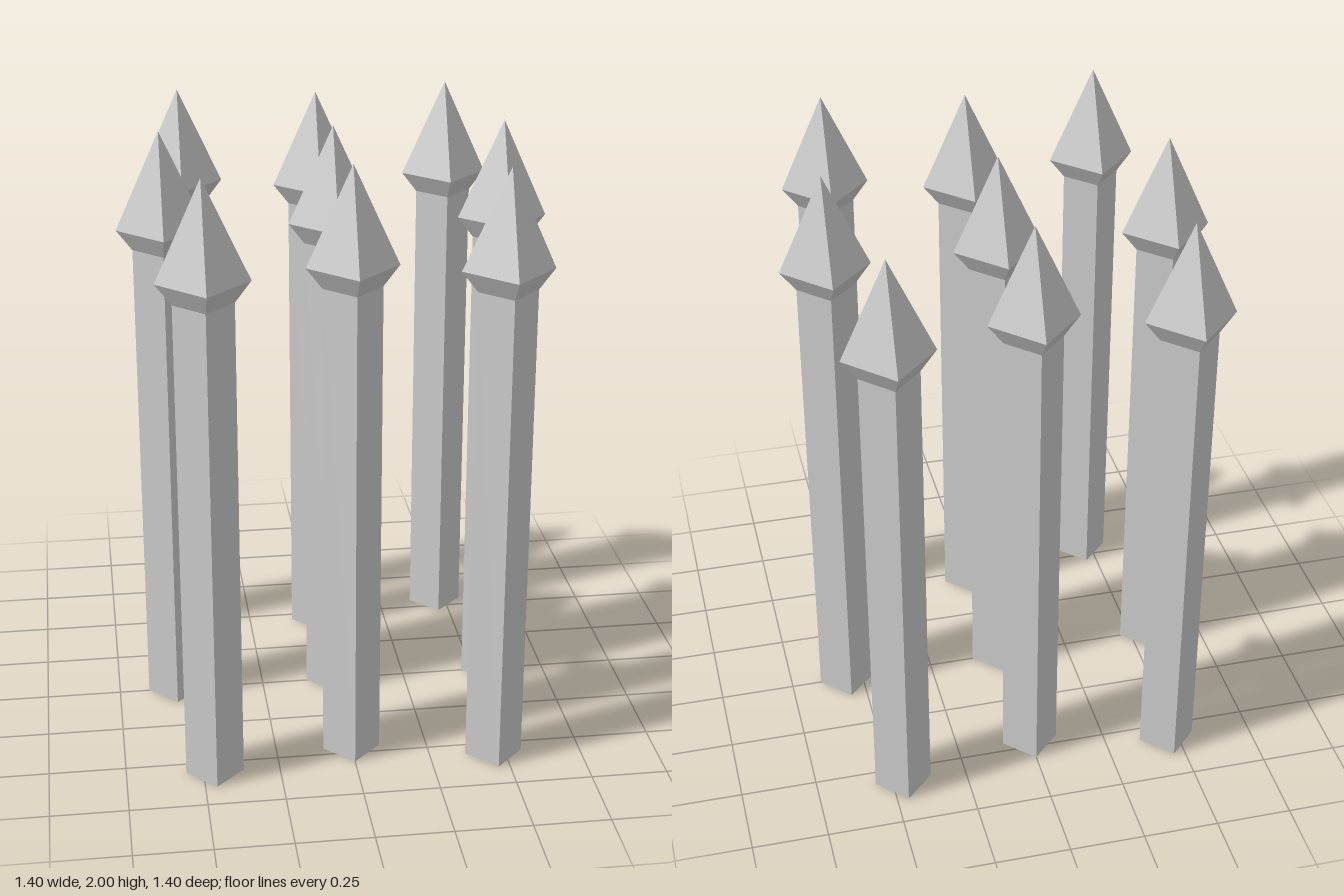
import * as THREE from 'three';

// Four-sided profile turned around the y axis, corners on the x and z axes
function turned(name, profile, material) {
  const points = profile.map(([r, y]) => new THREE.Vector2(r, y));
  const mesh = new THREE.Mesh(new THREE.LatheGeometry(points, 4), material);
  mesh.name = name;
  return mesh;
}

export function createModel() {
  const model = new THREE.Group();
  model.name = 'spikes';
  const material = new THREE.MeshStandardMaterial({ color: 0xcccccc, flatShading: true });

  // One spike: square shaft with a flared, pointed head
  const spike = new THREE.Group();
  spike.add(
    turned('shaft', [[0, 0], [0.094, 0], [0.094, 1.613]], material),
    turned('head', [[0.094, 1.613], [0.145, 1.68], [0, 2]], material)
  );

  // Three by three layout, with the front and back middle spikes set inward
  for (const row of [-1, 0, 1]) {
    for (const column of [-1, 0, 1]) {
      const copy = spike.clone();
      copy.name = 'spike';
      copy.position.x = column * (row === 0 ? 0.555 : 0.462);
      copy.position.z = row * (column === 0 ? 0.462 : 0.555);
      model.add(copy);
    }
  }
  return model;
}
